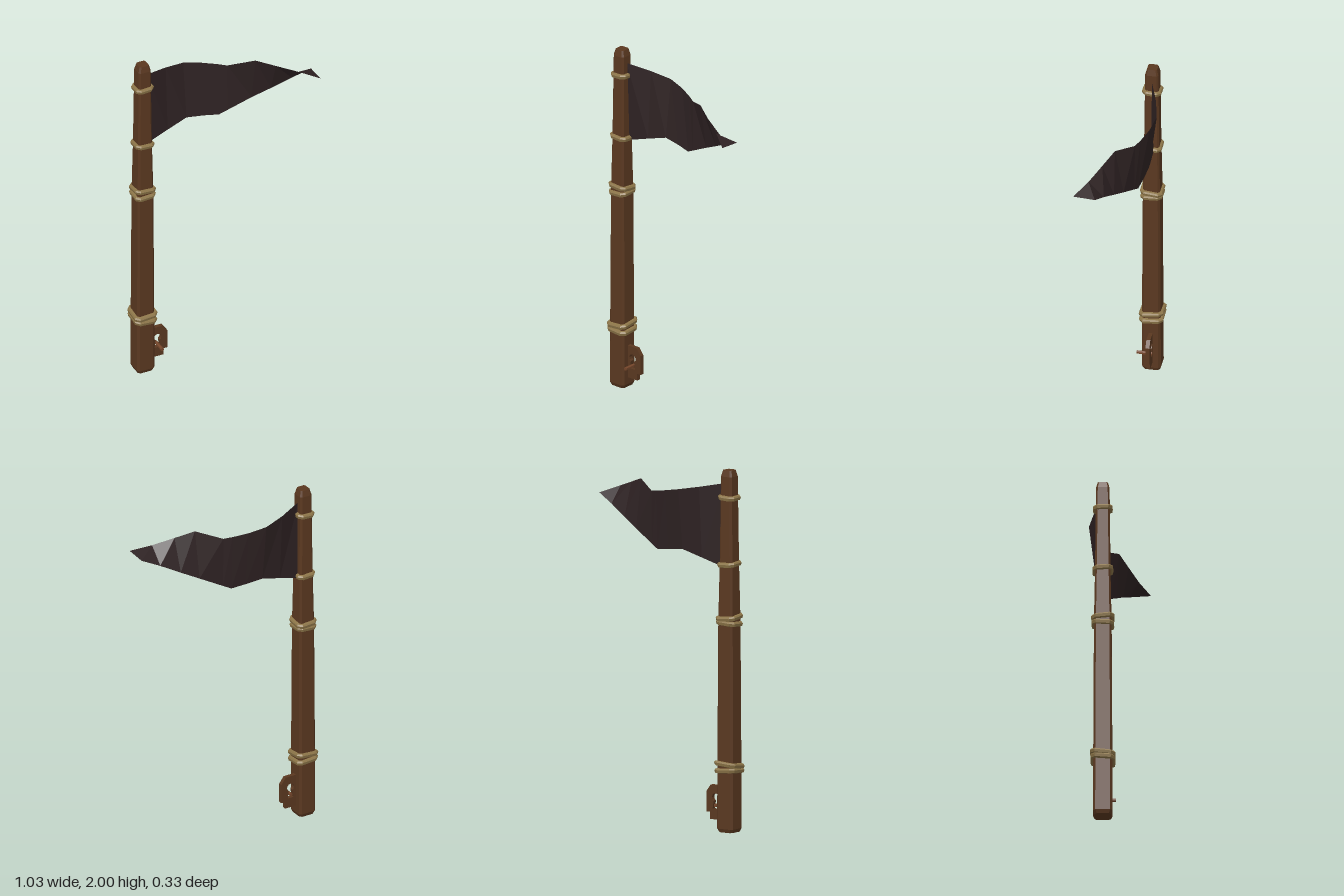
import * as THREE from 'three';

const POLE_X = -0.446, POLE_Z = -0.087;

const mat = (name, color, extra = {}) =>
  new THREE.MeshStandardMaterial({ name, color, flatShading: true, ...extra });

// Square outline with cut corners, counter-clockwise seen from above
function cutSquare(h, c) {
  const k = h - c;
  return [[h, k], [h, -k], [k, -h], [-k, -h], [-h, -k], [-h, k], [-k, h], [k, h]];
}

// Stack of cut squares [half width, y, corner cut], optionally tilted along x and z
function stack(levels, tiltX = 0, tiltZ = 0) {
  const pos = [], index = [], n = 8;
  for (const [h, y, c] of levels)
    for (const [x, z] of cutSquare(h, c)) pos.push(x, y + x * tiltX + z * tiltZ, z);
  for (let r = 0; r < levels.length - 1; r++)
    for (let i = 0; i < n; i++) {
      const a = r * n + i, b = r * n + (i + 1) % n;
      index.push(a, b, b + n, a, b + n, a + n);
    }
  const top = (levels.length - 1) * n;
  for (let i = 1; i < n - 1; i++) {
    index.push(0, i + 1, i);
    index.push(top, top + i, top + i + 1);
  }
  return finish(pos, index);
}

function finish(pos, index) {
  const g = new THREE.BufferGeometry();
  g.setAttribute('position', new THREE.Float32BufferAttribute(pos, 3));
  g.setIndex(index);
  const flat = g.toNonIndexed();
  flat.computeVertexNormals();
  return flat;
}

export function createModel() {
  const model = new THREE.Group();
  model.name = 'bannerPole';
  const wood = mat('dark wood', 0x5a3820);
  const peg = mat('light wood', 0x75462a);
  const rope = mat('rope', 0x8c7548);
  const cloth = mat('dark cloth', 0x2e2223, { side: THREE.DoubleSide });

  const add = (name, geometry, material, x = 0, y = 0, z = 0) => {
    const mesh = new THREE.Mesh(geometry, material);
    mesh.name = name;
    mesh.position.set(x, y, z);
    model.add(mesh);
    return mesh;
  };

  // Tapered pole with bevelled edges and ends
  add('pole', stack([
    [0.045, 0, 0.012], [0.053, 0.02, 0.012], [0.052, 0.36, 0.012],
    [0.048, 1.17, 0.011], [0.042, 1.48, 0.01], [0.037, 1.965, 0.01], [0.028, 2, 0.008],
  ]), wood, POLE_X, 0, POLE_Z);

  // Rope bindings: [y, inner half width, outer half width, tilt x, tilt z]
  const bindings = [
    [1.848, 0.036, 0.054, 0.05, 0.04],
    [1.48, 0.040, 0.057, -0.05, 0.06],
    [1.186, 0.045, 0.063, -0.06, 0.1],
    [1.154, 0.045, 0.062, 0.06, -0.06],
    [0.372, 0.049, 0.069, 0.07, -0.12],
    [0.338, 0.049, 0.068, -0.07, -0.08],
  ];
  for (const [y, inner, outer, tx, tz] of bindings)
    add('ropeBinding', stack([
      [inner, -0.015, 0.012], [outer - 0.003, -0.011, 0.022], [outer, 0.004, 0.022],
      [outer - 0.005, 0.012, 0.02], [inner, 0.015, 0.012],
    ], tx, tz), rope, POLE_X, y, POLE_Z);

  // Wind-bent flag: [x, top y, top z, bottom y, bottom z] for each column
  const columns = [
    [-0.415, 1.923, -0.088, 1.46, -0.098],
    [-0.28, 1.897, -0.138, 1.503, -0.113],
    [-0.16, 1.876, -0.166, 1.54, -0.125],
    [-0.06, 1.858, -0.146, 1.53, -0.115],
    [0.025, 1.843, -0.113, 1.52, -0.1],
    [0.07, 1.835, -0.09, 1.543, -0.088],
    [0.2, 1.88, -0.005, 1.61, -0.053],
    [0.3, 1.845, 0.045, 1.66, -0.02],
    [0.41, 1.807, 0.1, 1.717, 0.015],
    [0.513, 1.772, 0.165, 1.765, 0.045],
  ];
  const pos = [], index = [];
  columns.forEach(([x, ty, tz, by, bz], i) => {
    pos.push(x, ty, tz, x, by, bz);
    const a = i * 2;
    if (i) index.push(a - 2, a - 1, a + 1, a - 2, a + 1, a);
  });
  add('flag', finish(pos, index), cloth);

  // Notched side plate with a keyhole-shaped opening
  const plate = new THREE.Shape([
    [-0.405, 0.06], [-0.325, 0.06], [-0.325, 0.1], [-0.3, 0.1],
    [-0.3, 0.212], [-0.328, 0.25], [-0.405, 0.25],
  ].map(([x, y]) => new THREE.Vector2(x, y)));
  const hole = new THREE.Path();
  hole.moveTo(-0.379, 0.118);
  hole.lineTo(-0.371, 0.163);
  hole.absarc(-0.36, 0.182, 0.023, Math.PI * 1.33, Math.PI * 1.67, true);
  hole.lineTo(-0.341, 0.118);
  hole.closePath();
  plate.holes.push(hole);
  add('sidePlate', new THREE.ExtrudeGeometry(plate, { depth: 0.022, bevelEnabled: false, curveSegments: 5 }),
    wood, 0, 0, -0.097);

  // Peg through the opening
  const pin = new THREE.CylinderGeometry(0.01, 0.01, 0.085, 6);
  pin.rotateX(Math.PI / 2);
  add('peg', pin, peg, -0.36, 0.138, -0.058);

  return model;
}
